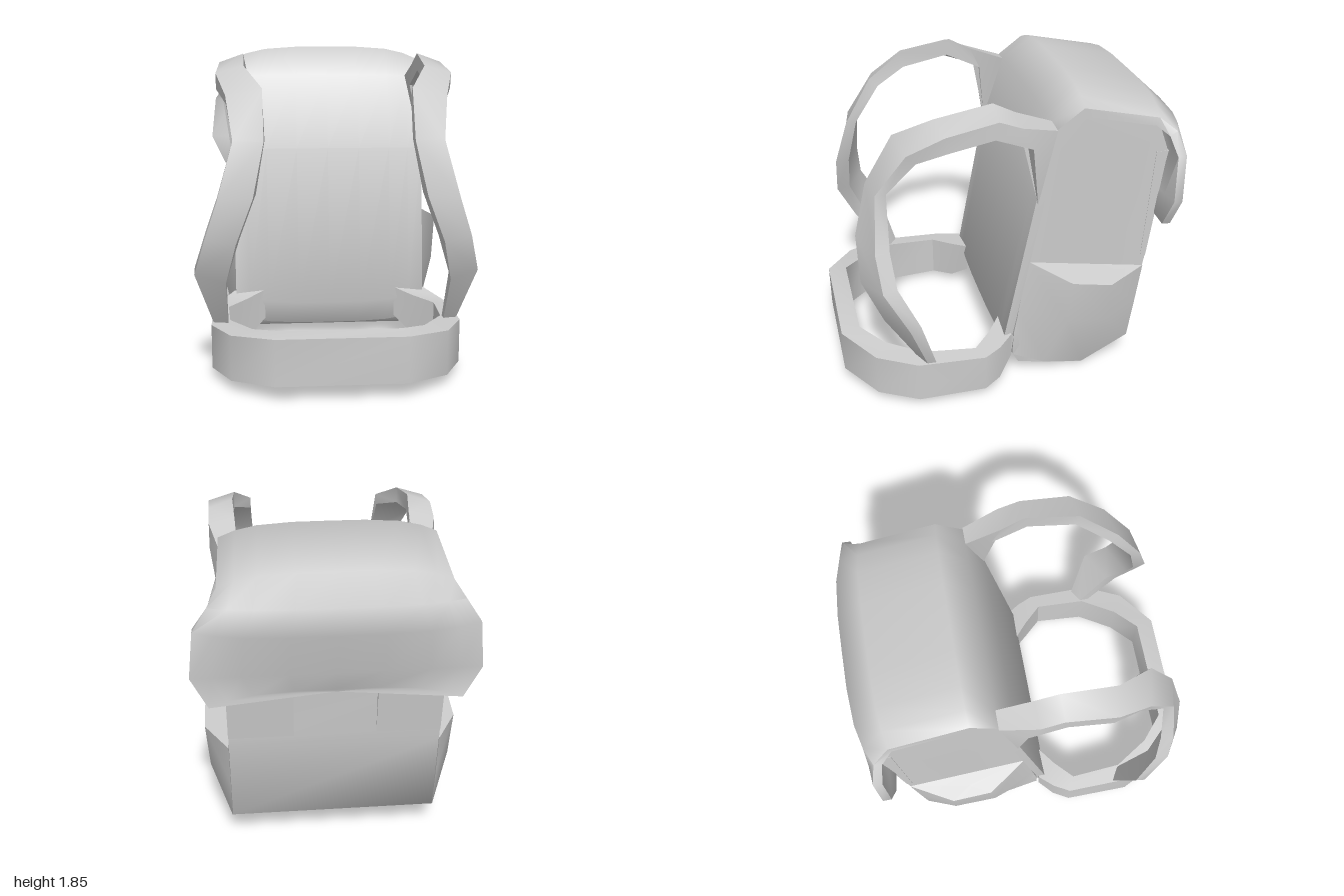
import * as THREE from 'three';
import { toCreasedNormals } from 'three/addons/utils/BufferGeometryUtils.js';

const fabric = new THREE.MeshStandardMaterial({ color: 0xcccccc });
fabric.name = 'grey fabric';

// Closed solid through a list of rings of [x, y, z] points, capped at both ends.
function loft(name, rings, crease = 0.8) {
  const n = rings[0].length, tris = [];
  const middle = (r) => [0, 1, 2].map((k) => r.reduce((s, p) => s + p[k], 0) / n);
  for (let i = 0; i + 1 < rings.length; i++) {
    for (let j = 0; j < n; j++) {
      const k = (j + 1) % n, a = rings[i], b = rings[i + 1];
      tris.push([a[j], a[k], b[k]], [a[j], b[k], b[j]]);
    }
  }
  const first = rings[0], last = rings[rings.length - 1];
  for (let j = 0; j < n; j++) {
    const k = (j + 1) % n;
    tris.push([middle(first), first[k], first[j]], [middle(last), last[j], last[k]]);
  }
  // signed volume decides which way the corners run
  let volume = 0;
  for (const [a, b, c] of tris) {
    volume += new THREE.Vector3(...a).dot(new THREE.Vector3(...b).cross(new THREE.Vector3(...c)));
  }
  if (volume < 0) tris.forEach((t) => t.reverse());
  const geometry = new THREE.BufferGeometry();
  geometry.setAttribute('position', new THREE.Float32BufferAttribute(tris.flat(2), 3));
  const mesh = new THREE.Mesh(toCreasedNormals(geometry, crease), fabric);
  mesh.name = name;
  return mesh;
}

const mirror = (rings) => rings.map((r) => r.map(([x, y, z]) => [-x, y, z]));

// Main bag: side profile [z, y] carried across x, slightly narrower at the bottom
function body() {
  const profile = [
    [0, 0.18], [-0.01, 0.34], [-0.24, 1.61], [-0.39, 1.73], [-0.83, 1.63], [-0.895, 1.46], [-0.835, 1.1],
    [-0.82, 0.76], [-0.81, 0.69], [-0.745, 0.18], [-0.46, 0], [-0.2, 0.05], [-0.045, 0.09],
  ];
  const side = (s) => profile.map(([z, y]) => [s * (y < 0.15 ? 0.565 : 0.59), y, z]);
  return loft('bagBody', [side(-1), side(1)], 1.15);
}

// Thick sheet: back panel running up over the top and down as the lid.
// Each station: centre z, y, side edge z, y, half width
function panelAndLid() {
  const stations = [
    [-0.03, 0.1, 0.0, 0.17, 0.57], [0.06, 0.26, 0.05, 0.33, 0.59], [-0.12, 1.22, -0.12, 1.22, 0.6],
    [-0.23, 1.68, -0.23, 1.66, 0.6], [-0.39, 1.85, -0.38, 1.77, 0.6], [-0.85, 1.75, -0.82, 1.67, 0.61],
    [-1.0, 1.61, -0.91, 1.6, 0.66], [-0.965, 1.44, -0.94, 1.48, 0.74], [-0.915, 1.2, -0.93, 1.21, 0.77],
    [-0.88, 1.08, -0.915, 1.02, 0.68],
  ];
  const across = [-1, -0.85, -0.65, -0.33, 0, 0.33, 0.65, 0.85, 1];
  const rings = stations.map(([cz, cy, ez, ey, w], i) => {
    const a = stations[Math.max(i - 1, 0)], b = stations[Math.min(i + 1, stations.length - 1)];
    const dz = b[2] - a[2], dy = b[3] - a[3], t = 0.05 / Math.hypot(dz, dy);
    const outer = across.map((u) => {
      const f = u ** 4;
      return [u * w, cy + (ey - cy) * f, cz + (ez - cz) * f];
    });
    const inner = outer.map(([x, y, z]) => [x, y + dz * t, z - dy * t]).reverse();
    return [...outer, ...inner];
  });
  return loft('backPanelAndLid', rings, 1.15);
}

// Tapering pads below the lid, leaving a shallow recess between them
const padRings = [[1.45, -0.83, -0.905], [0.76, -0.79, -0.822]].map(([y, zIn, zOut]) => [
  [0.23, y, zIn], [0.592, y, zIn], [0.592, y, zOut], [0.23, y, zOut],
]);

// Bulging side pocket
const pocketRings = [
  [[0.592, 0.83, -0.095], [0.73, 0.73, -0.32], [0.73, 0.68, -0.56], [0.592, 0.69, -0.812]],
  [[0.592, 0.5, -0.035], [0.71, 0.45, -0.3], [0.71, 0.42, -0.56], [0.592, 0.43, -0.78]],
  [[0.585, 0.17, 0.0], [0.6, 0.08, -0.2], [0.58, 0.015, -0.46], [0.592, 0.18, -0.747]],
];

// Shoulder strap: inner edge, outer edge, thickness offset [dy, dz], pinch of the under side
const strapRings = [
  [[0.5, 1.67, -0.23], [0.61, 1.66, -0.23], [-0.44, 0.1], 0.09],
  [[0.51, 1.75, -0.02], [0.66, 1.72, -0.02], [-0.13, -0.06], 0],
  [[0.52, 1.82, 0.11], [0.66, 1.77, 0.11], [-0.1, 0.02], 0],
  [[0.51, 1.76, 0.43], [0.67, 1.72, 0.4], [-0.09, -0.02], 0],
  [[0.41, 1.65, 0.64], [0.61, 1.61, 0.6], [-0.05, -0.05], 0],
  [[0.405, 1.38, 0.8], [0.57, 1.38, 0.77], [0, -0.06], -0.005],
  [[0.465, 1.09, 0.88], [0.66, 1.06, 0.8], [0.01, -0.08], -0.015],
  [[0.56, 0.84, 0.88], [0.73, 0.85, 0.78], [0.02, -0.08], -0.02],
  [[0.62, 0.6, 0.77], [0.8, 0.62, 0.65], [0.03, -0.06], 0],
  [[0.62, 0.29, 0.58], [0.7, 0.29, 0.54], [0, -0.05], 0],
].map(([a, b, [dy, dz], pinch]) => [
  a, b, [b[0], b[1] + dy, b[2] + dz], [a[0] + pinch, a[1] + dy, a[2] + dz],
]);

// Hip belt: half loop of outer x, z, inner x, z, top, bottom
function belt() {
  const half = [
    [0.36, 1.0, 0.33, 0.89, 0.355, 0.09], [0.6, 0.83, 0.48, 0.76, 0.325, 0.065],
    [0.715, 0.6, 0.61, 0.55, 0.31, 0.055], [0.72, 0.2, 0.63, 0.24, 0.29, 0.055],
    [0.67, 0.1, 0.52, 0.13, 0.305, 0.08], [0.6, 0.01, 0.41, 0.04, 0.335, 0.18],
  ].map(([ox, oz, ix, iz, t, b]) => [[ox, t, oz], [ix, t + 0.01, iz], [ix, b - 0.02, iz], [ox, b, oz]]);
  return loft('hipBelt', [...mirror(half).reverse(), ...half]);
}

export function createModel() {
  const model = new THREE.Group();
  model.name = 'backpack';
  model.add(body(), panelAndLid(), belt());
  const pairs = { Pocket: pocketRings, LidPad: padRings, ShoulderStrap: strapRings };
  for (const [part, rings] of Object.entries(pairs)) {
    model.add(loft('left' + part, rings), loft('right' + part, mirror(rings)));
  }
  return model;
}
